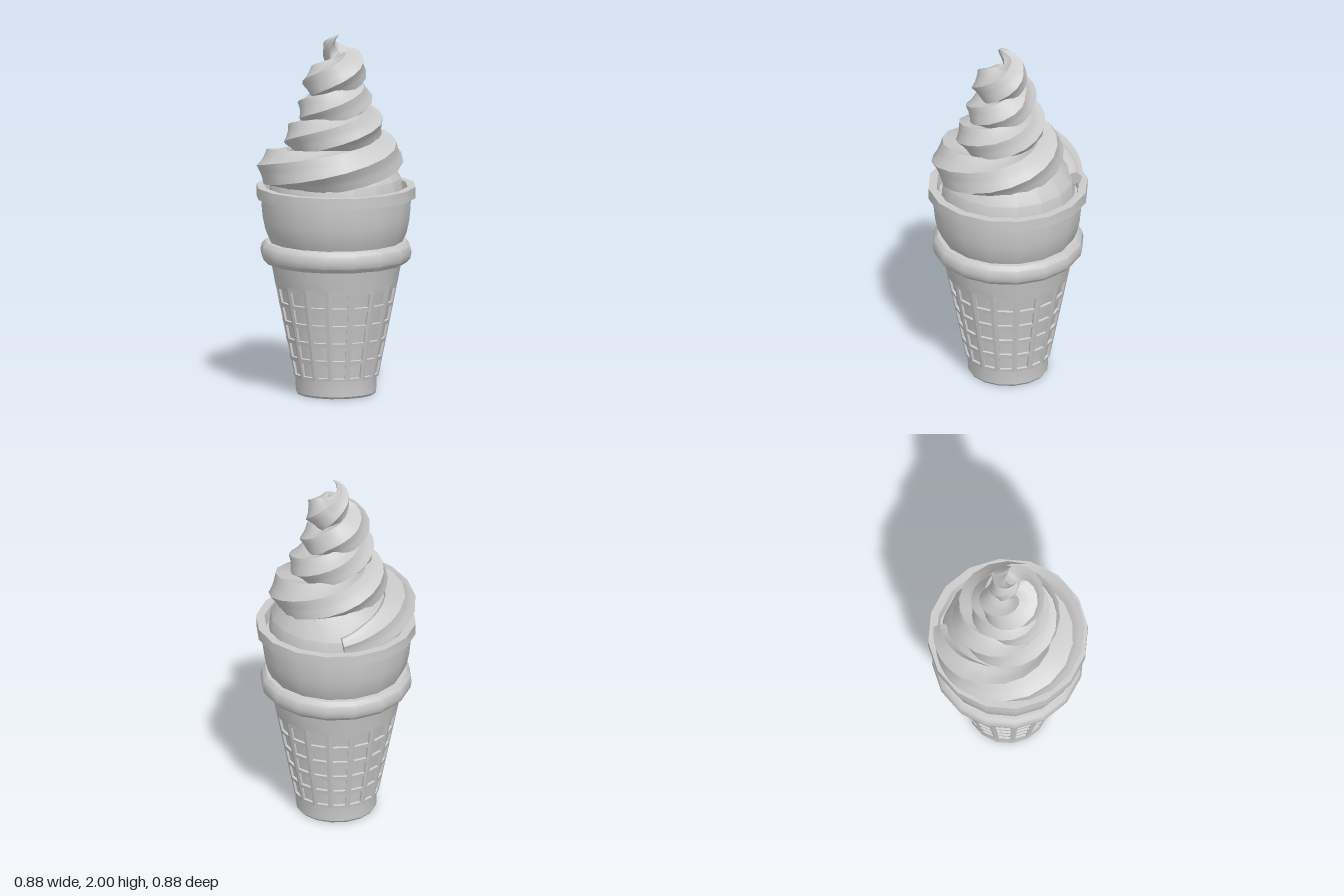
import * as THREE from 'three';
import { toCreasedNormals } from 'three/addons/utils/BufferGeometryUtils.js';

const SIDES = 16;
const HALF = Math.PI / SIDES;
const material = new THREE.MeshStandardMaterial({ color: 0xcccccc });

function addMesh(parent, name, geometry) {
  const mesh = new THREE.Mesh(geometry, material);
  mesh.name = name;
  parent.add(mesh);
  return mesh;
}

// Sixteen-sided turned part, smooth around and sharp at profile corners
function turned(profile) {
  const points = profile.map(([r, y]) => new THREE.Vector2(r, y));
  return toCreasedNormals(new THREE.LatheGeometry(points, SIDES), 0.6);
}

// One flat wall of the cone with a column of tapered windows
function wafflePanel(y0, y1, radiusAt, stretch) {
  const outline = (Shape, from, to, fill) => new Shape([
    [-1, from], [1, from], [1, to], [-1, to],
  ].map(([side, y]) => new THREE.Vector2(
    side * fill * radiusAt(y) * Math.sin(HALF), (y - y0) * stretch)));
  const shape = outline(THREE.Shape, y0, y1, 1);
  for (let row = 0; row < 5; row++) {
    const bottom = 0.115 + row * 0.101;
    shape.holes.push(outline(THREE.Path, bottom, bottom + 0.078, 0.68));
  }
  const depth = 0.016;
  return new THREE.ExtrudeGeometry(shape, { depth, bevelEnabled: false }).translate(0, 0, -depth);
}

// Ridged rope wound upward: each key is [degrees, outer radius, height, rope radius]
function swirlGeometry() {
  const keys = [
    [125, 0.41, 1.19, 0.045], [150, 0.425, 1.215, 0.08], [180, 0.44, 1.245, 0.105],
    [270, 0.435, 1.27, 0.12], [360, 0.39, 1.31, 0.12], [450, 0.325, 1.36, 0.115],
    [540, 0.29, 1.41, 0.11], [630, 0.295, 1.45, 0.105], [720, 0.28, 1.49, 0.1],
    [810, 0.225, 1.53, 0.1], [900, 0.205, 1.57, 0.1], [990, 0.24, 1.6, 0.1],
    [1080, 0.215, 1.64, 0.1], [1170, 0.155, 1.68, 0.1], [1260, 0.17, 1.71, 0.1],
    [1350, 0.205, 1.755, 0.105], [1440, 0.185, 1.805, 0.11], [1530, 0.115, 1.86, 0.085],
    [1620, 0.085, 1.91, 0.055], [1755, 0.05, 2.0, 0.001],
  ];
  const spans = keys.length - 1;
  const curve = new THREE.CatmullRomCurve3(keys.map((k) => new THREE.Vector3(k[1], k[2], k[3])));
  const sample = (t) => {
    const f = Math.min(Math.max(t, 0), 1) * spans;
    const i = Math.min(Math.floor(f), spans - 1);
    const phi = THREE.MathUtils.degToRad(THREE.MathUtils.lerp(keys[i][0], keys[i + 1][0], f - i));
    const v = curve.getPoint(f / spans);
    const radial = new THREE.Vector3(Math.cos(phi), 0, -Math.sin(phi));
    const center = radial.clone().multiplyScalar(v.x - v.z).setY(v.y);
    return { phi, radial, center, size: Math.max(v.z, 0.001) };
  };

  // Six sharp ridges with shallow hollows between them
  const section = [];
  for (let k = 0; k < 6; k++) {
    const a = k * Math.PI / 3;
    section.push([a, 1], [a + 0.35, 0.83], [a + 0.7, 0.83]);
  }
  const n = section.length;
  const steps = spans * 5;
  const positions = [];
  const index = [];
  for (let j = 0; j <= steps; j++) {
    const t = j / steps;
    const { phi, radial, center, size } = sample(t);
    const tangent = sample(t + 0.001).center.sub(sample(t - 0.001).center).normalize();
    const out = radial.addScaledVector(tangent, -radial.dot(tangent)).normalize();
    const up = new THREE.Vector3().crossVectors(out, tangent);
    for (const [angle, scale] of section) {
      const a = angle + 0.6 * phi;
      const p = center.clone()
        .addScaledVector(out, Math.cos(a) * scale * size)
        .addScaledVector(up, Math.sin(a) * scale * size);
      positions.push(p.x, p.y, p.z);
    }
    if (j === steps) break;
    for (let i = 0; i < n; i++) {
      const a = j * n + i;
      const b = j * n + (i + 1) % n;
      index.push(a, a + n, b, b, a + n, b + n);
    }
  }
  // Blunt cap where the rope begins
  for (let i = 1; i < n - 1; i++) index.push(0, i, i + 1);
  const geometry = new THREE.BufferGeometry();
  geometry.setAttribute('position', new THREE.Float32BufferAttribute(positions, 3));
  geometry.setIndex(index);
  return toCreasedNormals(geometry, 0.6);
}

export function createModel() {
  const model = new THREE.Group();
  model.name = 'softServeCone';

  const y0 = 0.1;
  const y1 = 0.62;
  const slope = 0.2;
  const radiusAt = (y) => 0.235 + (y - y0) * slope;

  // Foot, recessed wall behind the windows, and plain collar
  addMesh(model, 'coneBody', turned([
    [0, 0], [0.213, 0], [0.222, 0.012], [0.224, y0], [radiusAt(y0) - 0.014, y0],
    [radiusAt(y1) - 0.014, y1], [radiusAt(y1), y1], [0.36, 0.73],
  ]));

  // Ring of window panels
  const waffle = new THREE.Group();
  waffle.name = 'waffleWall';
  model.add(waffle);
  const lean = slope * Math.cos(HALF);
  const panel = wafflePanel(y0, y1, radiusAt, Math.hypot(1, lean));
  for (let i = 0; i < SIDES; i++) {
    const pivot = new THREE.Group();
    pivot.name = 'wafflePanelPivot';
    pivot.rotation.y = (2 * i + 1) * HALF;
    const mesh = addMesh(pivot, 'wafflePanel', panel);
    mesh.position.set(0, y0, radiusAt(y0) * Math.cos(HALF));
    mesh.rotation.x = Math.atan(lean);
    waffle.add(pivot);
  }

  addMesh(model, 'roundedBand', turned([
    [0.35, 0.725], [0.385, 0.73], [0.41, 0.755], [0.418, 0.79],
    [0.41, 0.825], [0.39, 0.847], [0.35, 0.85],
  ]));

  addMesh(model, 'cup', turned([
    [0.365, 0.845], [0.39, 0.9], [0.405, 0.97], [0.412, 1.04], [0.414, 1.095],
  ]));

  addMesh(model, 'cupRim', turned([
    [0.41, 1.092], [0.44, 1.092], [0.44, 1.155], [0.395, 1.155], [0.385, 1.09], [0, 1.09],
  ]));

  // Filling under and inside the swirl
  addMesh(model, 'iceCreamCore', turned([
    [0.37, 1.09], [0.36, 1.2], [0.28, 1.31], [0.17, 1.45], [0.1, 1.62], [0.05, 1.78], [0, 1.82],
  ]));
  addMesh(model, 'iceCreamSwirl', swirlGeometry());

  return model;
}
